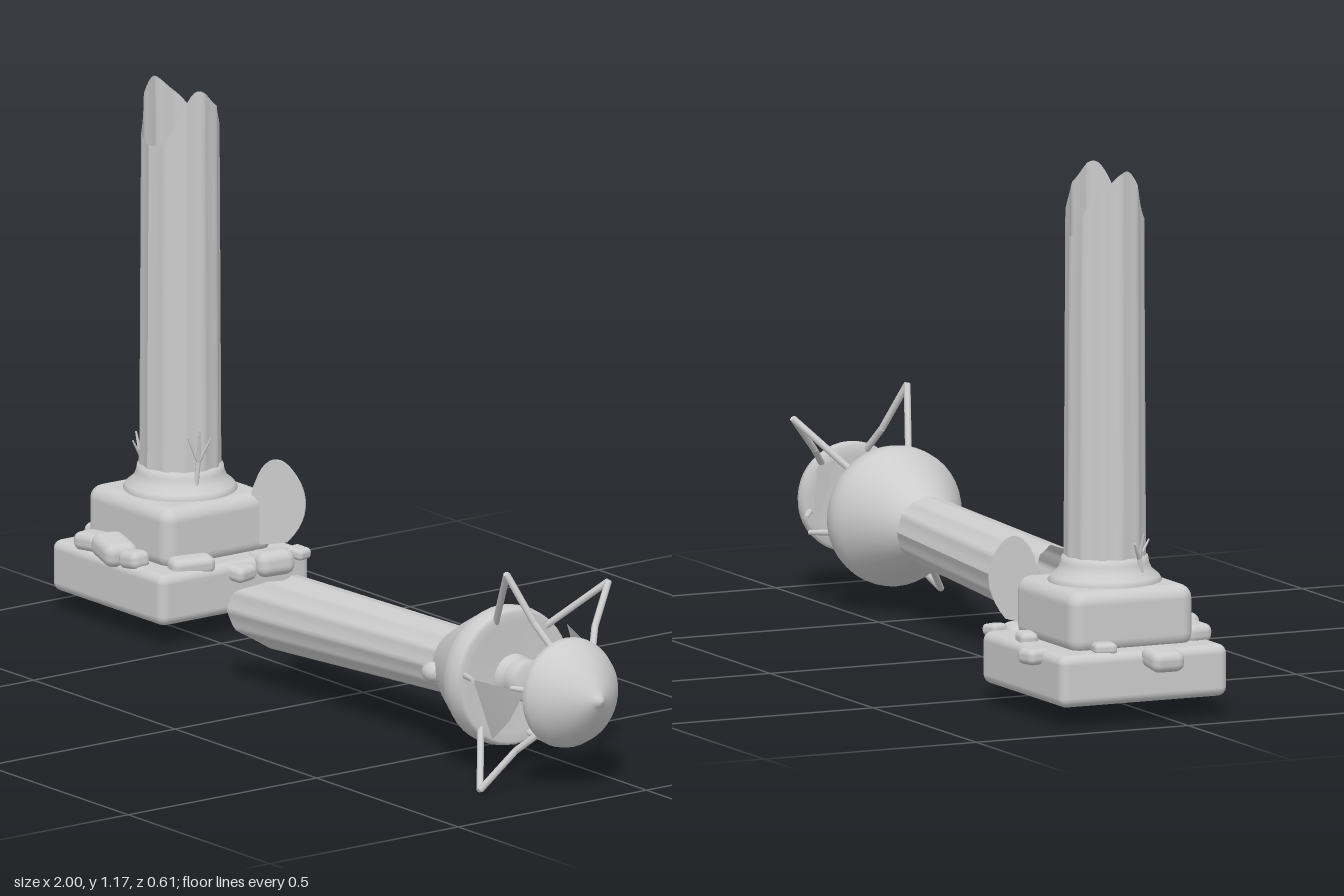
import * as THREE from 'three';
import { RoundedBoxGeometry } from 'three/addons/geometries/RoundedBoxGeometry.js';

const grey = new THREE.MeshStandardMaterial({ color: 0xcccccc });
const thin = new THREE.MeshStandardMaterial({ color: 0xcccccc, side: THREE.DoubleSide });
const UP = new THREE.Vector3(0, 1, 0);
const v = (x, y, z) => new THREE.Vector3(x, y, z);

function add(parent, name, geometry, material = grey, x = 0, y = 0, z = 0) {
  const mesh = new THREE.Mesh(geometry, material);
  mesh.name = name;
  mesh.position.set(x, y, z);
  parent.add(mesh);
  return mesh;
}

const lathe = (points) =>
  new THREE.LatheGeometry(points.map(([r, y]) => new THREE.Vector2(r, y)), 40);

// Fluted open tube whose far end is torn; the two long splinters lie at +-phase
function brokenPost(length, r0, r1, phase) {
  const g = new THREE.CylinderGeometry(1, 1, 1, 72, 6, true);
  const p = g.attributes.position;
  for (let i = 0; i < p.count; i++) {
    const a = Math.atan2(p.getZ(i), p.getX(i));
    const t = p.getY(i) + 0.5;
    const r = (r0 + (r1 - r0) * t) * (1 - 0.05 * Math.abs(Math.sin(6 * a)));
    const tear = 0.065 * Math.cos(2 * (a - phase)) + 0.01 * Math.sin(5 * a);
    p.setXYZ(i, r * Math.cos(a), t * (length + tear), r * Math.sin(a));
  }
  g.computeVertexNormals();
  return g;
}

// Straight round bars through a list of points
function bars(parent, name, points, r0, r1 = r0) {
  for (let i = 0; i + 1 < points.length; i++) {
    const d = points[i + 1].clone().sub(points[i]);
    const m = add(parent, name, new THREE.CylinderGeometry(r1, r0, d.length(), 8));
    m.position.copy(points[i]).addScaledVector(d, 0.5);
    m.quaternion.setFromUnitVectors(UP, d.normalize());
  }
}

function standingPart() {
  const g = new THREE.Group();
  g.name = 'standingStump';
  const cx = -0.74, cz = -0.07;

  // Stepped plinth, collar and torn post
  add(g, 'lowerPlinth', new RoundedBoxGeometry(0.395, 0.112, 0.395, 3, 0.02), grey, cx, 0.1, cz);
  add(g, 'upperPlinth', new RoundedBoxGeometry(0.29, 0.135, 0.29, 4, 0.03), grey, cx, 0.213, cz);
  add(g, 'collar', lathe([[0.12, 0.265], [0.122, 0.282], [0.116, 0.292], [0.1, 0.305],
    [0.094, 0.32], [0.092, 0.333], [0.08, 0.336], [0, 0.336]]), grey, cx, 0, cz);
  add(g, 'standingPost', brokenPost(0.79, 0.088, 0.084, 0), thin, cx, 0.31, cz);

  // Rubble: x, y, z, width, height, depth
  const stones = [
    [-0.96, 0.14, -0.04, 0.08, 0.045, 0.075], [-0.815, 0.142, -0.272, 0.055, 0.035, 0.06],
    [-0.74, 0.172, 0.105, 0.105, 0.052, 0.075], [-0.83, 0.17, 0.095, 0.07, 0.04, 0.06],
    [-0.67, 0.165, 0.105, 0.06, 0.04, 0.05], [-0.575, 0.16, 0.025, 0.05, 0.04, 0.1],
    [-0.545, 0.135, -0.08, 0.06, 0.035, 0.06], [-0.553, 0.14, -0.17, 0.075, 0.055, 0.09],
    [-0.7, 0.16, -0.235, 0.05, 0.03, 0.04], [-0.535, 0.155, -0.23, 0.045, 0.025, 0.04],
    [-0.9, 0.162, -0.15, 0.05, 0.025, 0.05],
  ];
  stones.forEach(([x, y, z, w, h, d], i) => {
    const geo = new RoundedBoxGeometry(w, h, d, 3, Math.min(w, h, d) * 0.4);
    add(g, 'stone', geo, grey, x, y, z).rotation.set(0, 0.25 * Math.sin(i * 2.3), 0.12 * Math.cos(i * 1.7));
  });

  // Upright rounded shard leaning against the plinth
  const s = new THREE.Shape();
  s.moveTo(-0.045, 0);
  s.bezierCurveTo(-0.06, 0.06, -0.07, 0.1, -0.05, 0.14);
  s.bezierCurveTo(-0.03, 0.2, 0.005, 0.2, 0.03, 0.17);
  s.bezierCurveTo(0.075, 0.12, 0.07, 0.06, 0.02, 0.01);
  s.lineTo(-0.045, 0);
  const shard = add(g, 'shard', new THREE.ExtrudeGeometry(s, { depth: 0.006, bevelEnabled: false, curveSegments: 10 }),
    grey, -0.565, 0.168, -0.2);
  shard.rotation.y = 0.62;

  // Forked twigs beside the post
  for (const [x, z, side, h] of [[-0.65, -0.05, 1, 0.14], [-0.825, -0.03, -1, 0.1]]) {
    const fork = v(x, 0.28 + h * 0.55, z);
    bars(g, 'twig', [v(x, 0.27, z + 0.01), fork], 0.006, 0.005);
    bars(g, 'twig', [fork, v(x + side * 0.012, 0.29 + h, z + 0.005)], 0.005, 0.002);
    bars(g, 'twig', [fork, v(x + side * 0.018, 0.27 + h, z - 0.02)], 0.005, 0.002);
    bars(g, 'twig', [fork, v(x - side * 0.004, 0.275 + h, z + 0.025)], 0.004, 0.002);
  }
  return g;
}

function fallenPart() {
  // Local +y runs along the fallen lamp towards its cap
  const g = new THREE.Group();
  g.name = 'fallenLamp';
  g.position.set(0, 0.17, 0.107);
  g.quaternion.setFromUnitVectors(UP, v(1, 0.042, 0.01).normalize());

  const post = add(g, 'fallenPost', brokenPost(0.7, 0.073, 0.084, Math.PI / 2), thin, 0, 0.525, 0);
  post.rotation.x = Math.PI;

  // Flared lamp holder with its neck
  add(g, 'lampHolder', lathe([[0.072, 0.49], [0.08, 0.505], [0.105, 0.55], [0.142, 0.625], [0.15, 0.64],
    [0.151, 0.66], [0.147, 0.682], [0.14, 0.688], [0.12, 0.685], [0, 0.68]]), thin);
  add(g, 'neck', lathe([[0.05, 0.675], [0.05, 0.69], [0.042, 0.7], [0.046, 0.71], [0.046, 0.74],
    [0.04, 0.75], [0, 0.752]]), thin);
  const knob = add(g, 'knob', new THREE.SphereGeometry(0.03, 16, 12), grey, 0.005, 0.51, 0.085);
  knob.scale.set(0.75, 1, 0.75);

  // Pointed cap
  add(g, 'cap', lathe([[0, 0.868], [0.09, 0.866], [0.112, 0.868], [0.119, 0.876], [0.117, 0.89],
    [0.105, 0.915], [0.08, 0.942], [0.05, 0.968], [0.022, 0.985], [0.013, 0.99], [0.01, 0.997], [0, 1.0]]), thin);

  // Point at angle a (degrees) around the lamp, radius r, distance h along it
  const at = (a, r, h) => {
    const k = THREE.MathUtils.degToRad(a);
    return v(-r * Math.cos(k), h, r * Math.sin(k));
  };

  // Three whole bent struts and three snapped ones
  for (const [a, h] of [[18, 0.785], [137, 0.8], [317, 0.785]])
    bars(g, 'strut', [at(a, 0.13, 0.68), at(a, 0.268, h), at(a, 0.16, 0.832), at(a, 0.105, 0.872)], 0.0075);
  for (const [a, r, h] of [[79, 0.155, 0.745], [195, 0.14, 0.745], [255, 0.165, 0.74]]) {
    bars(g, 'snappedStrut', [at(a, 0.13, 0.68), at(a, r, h)], 0.0075, 0.005);
    bars(g, 'snappedStrut', [at(a, 0.1, 0.872), at(a, 0.125, 0.84)], 0.0075, 0.005);
  }

  // Remaining pieces of the glass panes
  const panes = [
    [at(79, 0.15, 0.74), at(137, 0.15, 0.74), at(118, 0.12, 0.81), at(82, 0.11, 0.868)],
    [at(317, 0.15, 0.74), at(255, 0.15, 0.74), at(275, 0.12, 0.8), at(310, 0.11, 0.868)],
  ];
  for (const points of panes) {
    const geo = new THREE.BufferGeometry().setFromPoints(points);
    geo.setIndex([0, 1, 2, 0, 2, 3]);
    geo.computeVertexNormals();
    add(g, 'glassPane', geo, thin);
  }
  return g;
}

export function createModel() {
  const model = new THREE.Group();
  model.name = 'brokenLampPost';
  model.add(standingPart(), fallenPart());
  return model;
}
